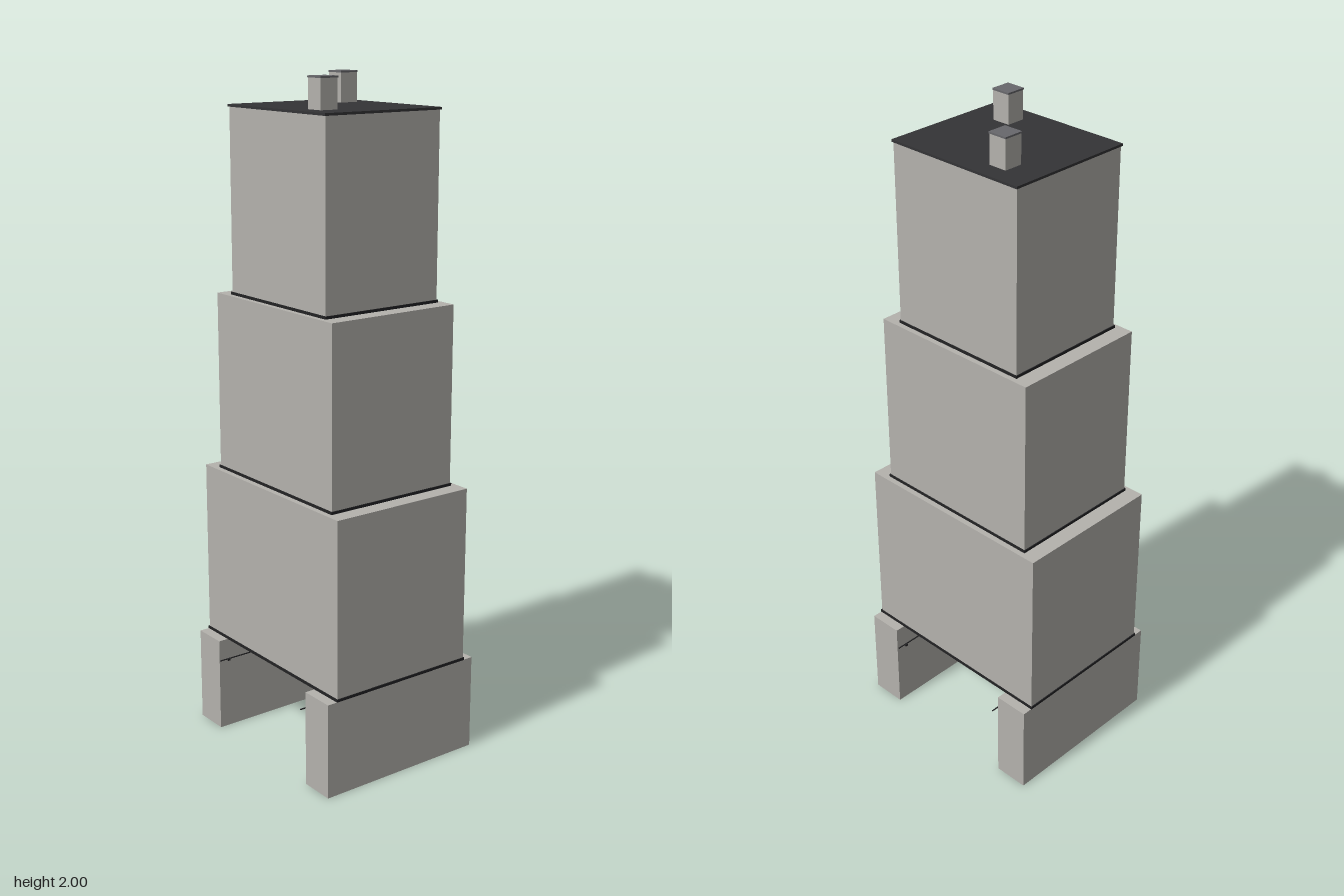
import * as THREE from 'three';

const stone = new THREE.MeshStandardMaterial({ color: 0xb4b2ad });
const dark = new THREE.MeshStandardMaterial({ color: 0x222224 });
const roofing = new THREE.MeshStandardMaterial({ color: 0x343436 });
const capGrey = new THREE.MeshStandardMaterial({ color: 0x68686c });

// Box given by its size in x and z, its bottom and top, and its centre
function box(parent, name, w, d, y0, y1, mat, x = 0, z = 0) {
  const mesh = new THREE.Mesh(new THREE.BoxGeometry(w, y1 - y0, d), mat);
  mesh.position.set(x, (y0 + y1) / 2, z);
  mesh.name = name;
  parent.add(mesh);
  return mesh;
}

export function createModel() {
  const model = new THREE.Group();
  model.name = 'tower';

  // Two slab piers, each with a thin cable and a small lamp on its inner side
  for (const s of [1, -1]) {
    const pier = new THREE.Group();
    pier.name = s > 0 ? 'frontPier' : 'backPier';
    box(pier, 'pierSlab', 0.54, 0.107, 0, 0.29, stone, 0, s * 0.278);
    const cable = new THREE.Mesh(new THREE.CylinderGeometry(0.002, 0.002, 0.556, 8), dark);
    cable.name = 'cable';
    cable.rotation.z = Math.PI / 2;
    cable.position.set(0, 0.232, s * 0.209);
    pier.add(cable);
    box(pier, 'cableLamp', 0.008, 0.005, 0.228, 0.234, dark, s * 0.249, s * 0.205);
    model.add(pier);
  }

  // Three stacked blocks, each on a slightly wider dark joint
  const tiers = [
    ['lowerBlock', 0.472, 0.66, 0.29, 0.828],
    ['middleBlock', 0.432, 0.556, 0.828, 1.365],
    ['upperBlock', 0.394, 0.452, 1.365, 1.904],
  ];
  for (const [name, w, d, y0, y1] of tiers) {
    box(model, name + 'Joint', w + 0.006, d + 0.006, y0, y0 + 0.008, dark);
    box(model, name, w, d, y0 + 0.008, y1, stone);
  }

  // Thin flat roof
  box(model, 'roof', 0.402, 0.458, 1.904, 1.911, roofing);

  // Two capped chimneys on opposite corners
  for (const s of [1, -1]) {
    const chimney = new THREE.Group();
    chimney.name = s > 0 ? 'backChimney' : 'frontChimney';
    box(chimney, 'chimneyStack', 0.057, 0.057, 1.911, 1.995, stone, s * 0.118, s * -0.109);
    box(chimney, 'chimneyCap', 0.06, 0.06, 1.995, 2, capGrey, s * 0.118, s * -0.109);
    model.add(chimney);
  }

  return model;
}
